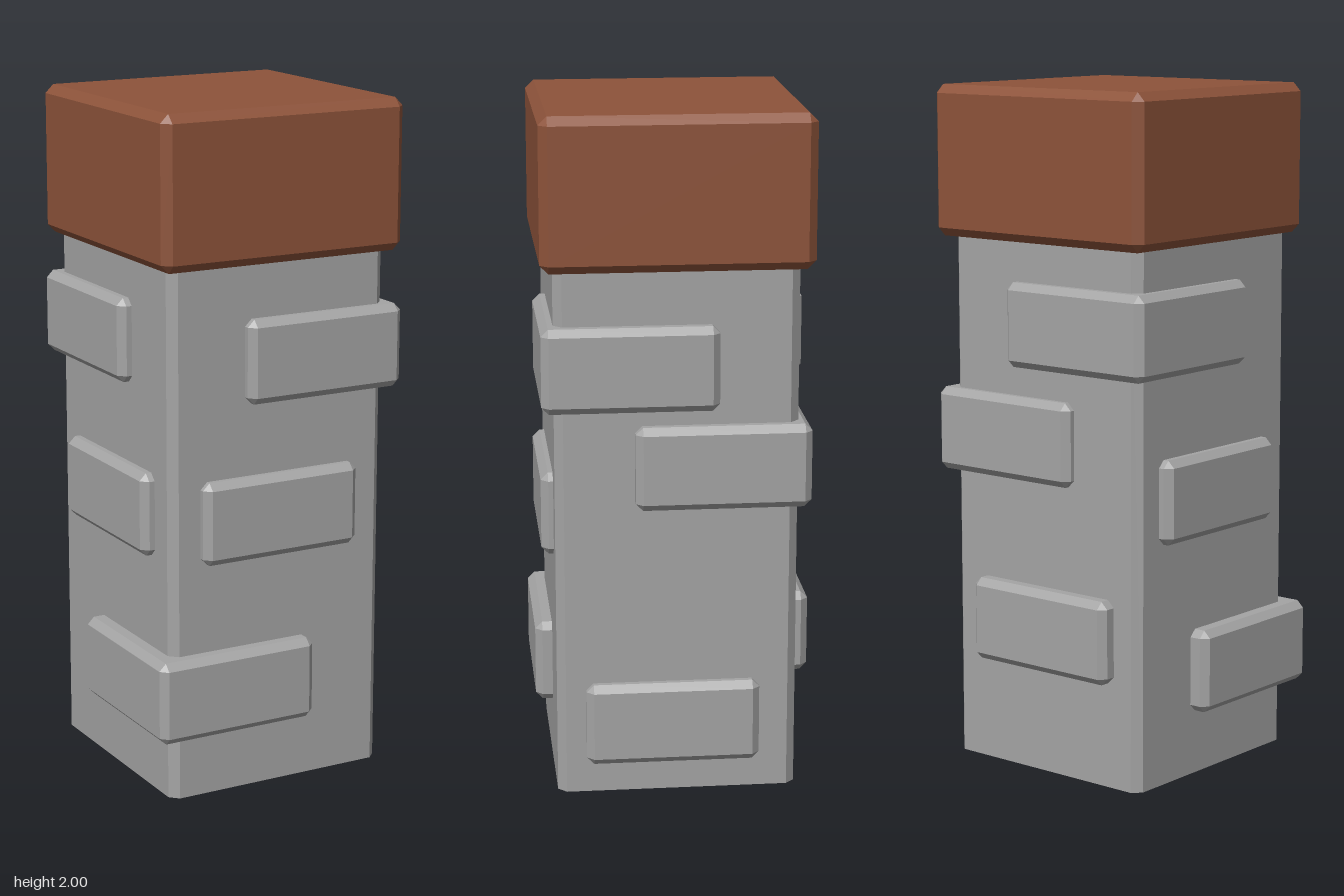
import * as THREE from 'three';
import { ConvexGeometry } from 'three/addons/geometries/ConvexGeometry.js';

// Box with all edges and corners cut off by c
function chamferBox(w, h, d, c) {
  const points = [];
  for (const sx of [-1, 1]) for (const sy of [-1, 1]) for (const sz of [-1, 1]) {
    const x = w / 2, y = h / 2, z = d / 2;
    points.push(
      new THREE.Vector3(sx * x, sy * (y - c), sz * (z - c)),
      new THREE.Vector3(sx * (x - c), sy * y, sz * (z - c)),
      new THREE.Vector3(sx * (x - c), sy * (y - c), sz * z));
  }
  return new ConvexGeometry(points);
}

// Open square tube with chamfered corners
function openShaft(half, c, height) {
  const a = half, b = half - c;
  const ring = [[a, -b], [a, b], [b, a], [-b, a], [-a, b], [-a, -b], [-b, -a], [b, -a]];
  const pos = [];
  ring.forEach(([x0, z0], i) => {
    const [x1, z1] = ring[(i + 1) % ring.length];
    pos.push(x0, 0, z0, x0, height, z0, x1, height, z1);
    pos.push(x0, 0, z0, x1, height, z1, x1, 0, z1);
  });
  const geo = new THREE.BufferGeometry();
  geo.setAttribute('position', new THREE.Float32BufferAttribute(pos, 3));
  geo.computeVertexNormals();
  return geo;
}

export function createModel() {
  const stone = new THREE.MeshStandardMaterial({ name: 'grey stone', color: 0xa4a4a4, side: THREE.DoubleSide });
  const clay = new THREE.MeshStandardMaterial({ name: 'brown clay', color: 0x8d533a });
  const group = new THREE.Group();
  group.name = 'chimney';

  const add = (name, geo, mat, x, y, z) => {
    const mesh = new THREE.Mesh(geo, mat);
    mesh.name = name;
    mesh.position.set(x, y, z);
    group.add(mesh);
  };

  add('shaft', openShaft(0.35, 0.025, 1.6), stone, 0.004, 0, 0);
  add('cap', chamferBox(0.776, 0.44, 0.776, 0.025), clay, 0.008, 1.78, -0.001);

  // Square bricks set into the shaft, each poking out of one or two sides
  const brick = chamferBox(0.506, 0.246, 0.506, 0.021);
  const bricks = [
    ['frontLeftUpperBrick', 0.145, 1.281, 0.134],
    ['frontMiddleBrick', 0.002, 0.823, 0.132],
    ['frontRightLowerBrick', -0.148, 0.313, 0.147],
    ['backLeftMiddleBrick', 0.142, 0.989, -0.132],
    ['leftLowerBrick', 0.138, 0.215, 0.013],
    ['backRightUpperBrick', -0.131, 1.321, -0.137],
    ['rightMiddleBrick', -0.131, 0.837, -0.002],
    ['backLowerBrick', -0.005, 0.434, -0.147],
  ];
  for (const [name, x, y, z] of bricks) add(name, brick, stone, x, y, z);

  return group;
}
